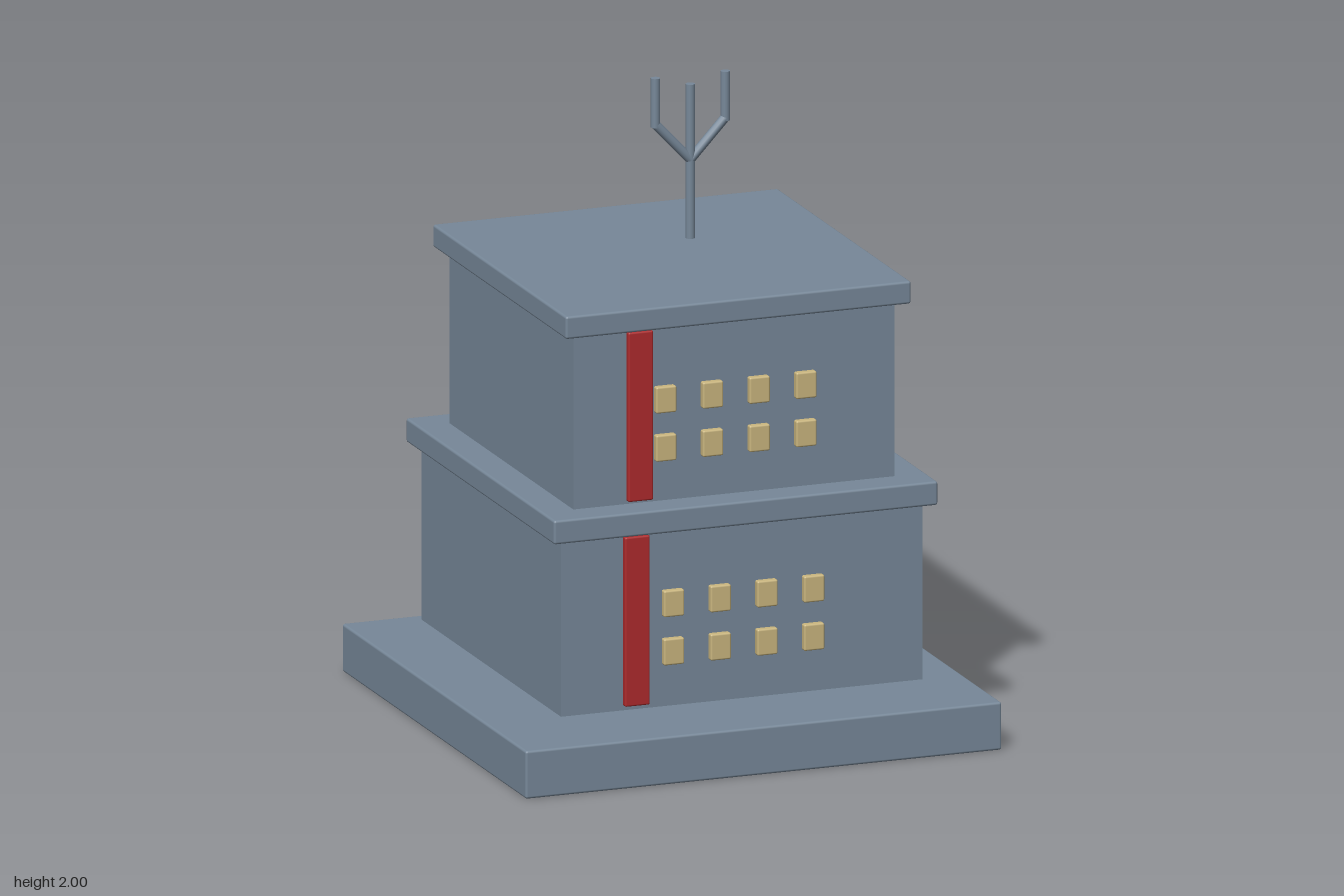
import * as THREE from 'three';
import { RoundedBoxGeometry } from 'three/addons/geometries/RoundedBoxGeometry.js';

const paint = (name, color) => {
  const m = new THREE.MeshStandardMaterial({ color });
  m.name = name;
  return m;
};

export function createModel() {
  const slate = paint('slate grey', 0x778899);
  const red = paint('banner red', 0xae2a2c);
  const sand = paint('window sand', 0xcab67f);

  const model = new THREE.Group();
  model.name = 'building';

  const add = (parent, name, geometry, material, x, y, z) => {
    const mesh = new THREE.Mesh(geometry, material);
    mesh.name = name;
    mesh.position.set(x, y, z);
    parent.add(mesh);
    return mesh;
  };
  // Square slab with softened edges, spanning y0 to y1
  const slab = (parent, name, half, y0, y1) => add(parent, name,
    new RoundedBoxGeometry(half * 2, y1 - y0, half * 2, 2, 0.008), slate, 0, (y0 + y1) / 2, 0);

  slab(model, 'base', 0.79, 0.003, 0.157);

  // Each storey: walls, overhanging ledge, vertical banner and two rows of windows
  const storey = (name, half, y0, y1, ledge, ledgeTop, bannerX) => {
    const group = new THREE.Group();
    group.name = name;
    model.add(group);
    add(group, 'walls', new THREE.BoxGeometry(half * 2, y1 - y0, half * 2), slate, 0, (y0 + y1) / 2, 0);
    slab(group, 'ledge', ledge, y1, ledgeTop);
    add(group, 'banner', new RoundedBoxGeometry(0.083, 0.545, 0.024, 2, 0.006), red,
      bannerX, y1 - 0.2725, half + 0.026);
    const pane = new RoundedBoxGeometry(0.068, 0.085, 0.026, 2, 0.006);
    for (const drop of [0.23, 0.385]) {
      for (let i = 0; i < 4; i++) {
        add(group, 'window', pane, sand, -0.235 + i * 0.155, y1 - drop, half + 0.017);
      }
    }
  };
  storey('lowerStorey', 0.6, 0.2, 0.765, 0.637, 0.842, -0.36);
  storey('upperStorey', 0.533, 0.835, 1.402, 0.573, 1.475, -0.323);

  // Three-pronged roof antenna
  const antenna = new THREE.Group();
  antenna.name = 'antenna';
  antenna.position.set(0.115, 0, -0.14);
  model.add(antenna);
  const rod = (name, x0, y0, x1, y1) => {
    const length = Math.hypot(x1 - x0, y1 - y0);
    const mesh = add(antenna, name, new THREE.CylinderGeometry(0.015, 0.015, length, 12), slate,
      (x0 + x1) / 2, (y0 + y1) / 2, 0);
    mesh.rotation.z = -Math.atan2(x1 - x0, y1 - y0);
  };
  rod('mast', 0, 1.46, 0, 1.97);
  for (const side of [-1, 1]) {
    rod('branch', 0, 1.727, side * 0.115, 1.85);
    rod('prong', side * 0.116, 1.842, side * 0.116, 2);
  }
  return model;
}
